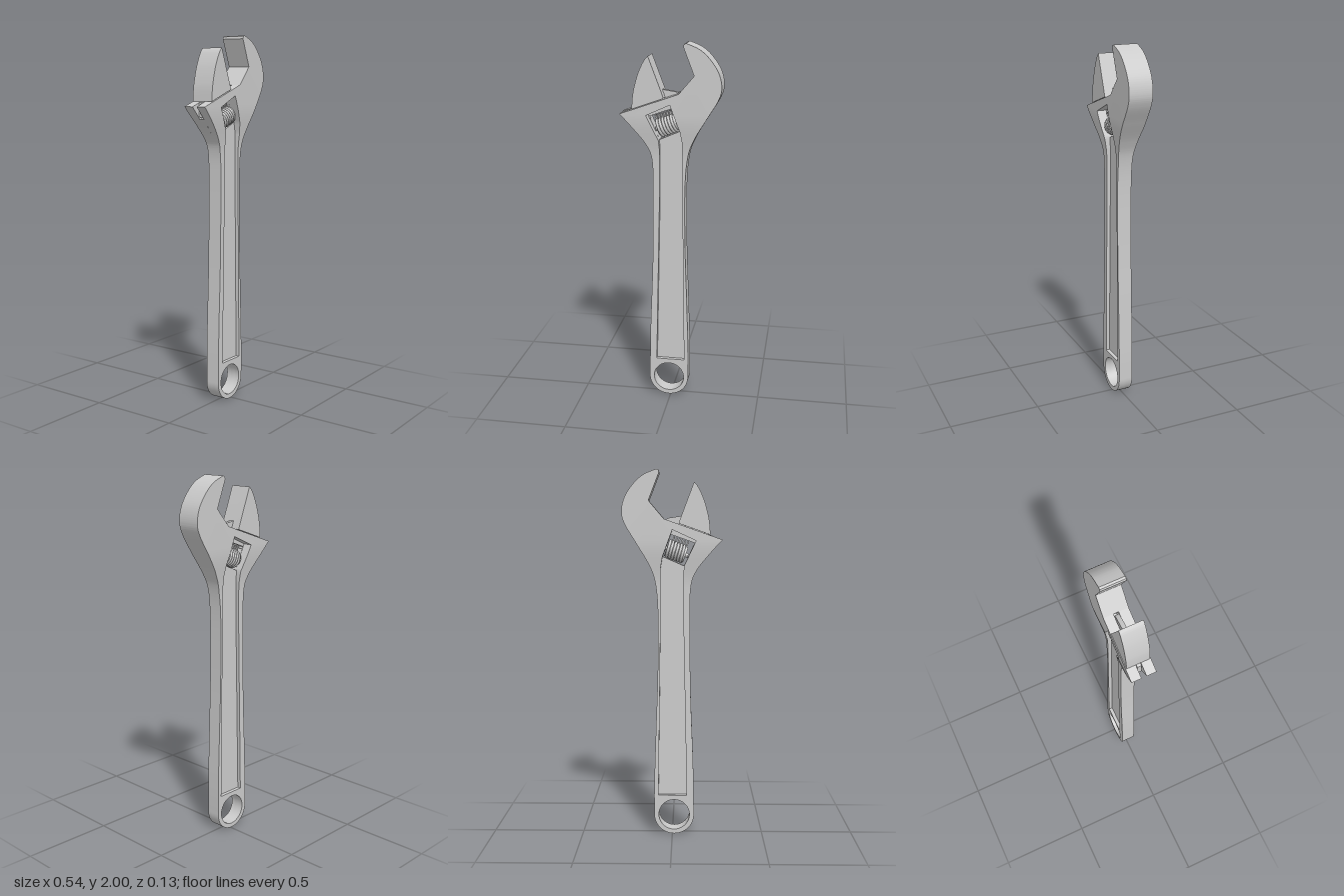
import * as THREE from 'three';
import { toCreasedNormals } from 'three/addons/utils/BufferGeometryUtils.js';

const material = new THREE.MeshStandardMaterial({ color: 0xcccccc });
const SLOT = 0.0135;   // half width of the slide slot
const FLOOR = 0.02;    // half thickness at the recess floor
const HANDLE = 0.04;   // half thickness of the handle rim
const HEAD = 0.066;    // half thickness of the head
const TILT = 0.34;     // slope of the slide, in radians
const RING = [-0.01, 0.11];

const pts = (list) => list.map(([x, y]) => new THREE.Vector2(x, y));
const polygon = (list) => new THREE.Shape(pts(list));
const WINDOW = [[0.053, 1.54], [0, 1.683], [-0.127, 1.625], [-0.063, 1.49]];

// Handle and fixed jaw; notched cuts the slide slot and the worm window open
function bodyShape(notched) {
  const s = new THREE.Shape();
  s.moveTo(0.1, 0.11);
  s.splineThru(pts([[0.1, 0.28], [0.09, 0.6], [0.08, 0.9], [0.078, 1.23], [0.092, 1.4],
    [0.127, 1.5], [0.195, 1.615], [0.252, 1.71], [0.27, 1.775], [0.255, 1.85],
    [0.21, 1.92], [0.155, 1.97], [0.085, 2]]));
  for (const [x, y] of [[0.074, 1.996], [0.07, 1.983], [0.127, 1.836], [0.045, 1.74]]) s.lineTo(x, y);
  if (notched) {
    for (const [x, y] of [[0.07, 1.675], [0.01, 1.655], [0.053, 1.54], [-0.063, 1.49],
      [-0.113, 1.6], [-0.205, 1.561]]) s.lineTo(x, y);
  } else {
    s.lineTo(-0.268, 1.63);
  }
  s.splineThru(pts([[-0.2, 1.555], [-0.13, 1.465], [-0.1, 1.38], [-0.095, 1.2],
    [-0.1, 0.8], [-0.115, 0.4], [-0.12, 0.11]]));
  for (let i = 1; i < 32; i++) {
    const a = Math.PI * (1 + i / 32);
    s.lineTo(RING[0] + 0.11 * Math.cos(a), RING[1] + 0.11 * Math.sin(a));
  }
  s.closePath();
  s.holes.push(new THREE.Path().absarc(RING[0], RING[1], 0.085, 0, Math.PI * 2, true));
  return s;
}

function extrude(shape, z0, z1) {
  const geo = new THREE.ExtrudeGeometry(shape, { depth: z1 - z0, bevelEnabled: false, curveSegments: 20 });
  geo.translate(0, 0, z0);
  return geo;
}

// Splits triangles at the given heights so that the faces can bend there
function sliceAtHeights(geo, levels) {
  const p = geo.getAttribute('position');
  let tris = [];
  for (let i = 0; i < p.count; i += 3) {
    tris.push([0, 1, 2].map((k) => new THREE.Vector3().fromBufferAttribute(p, i + k)));
  }
  const clip = (tri, h, side) => {
    const out = [];
    tri.forEach((a, i) => {
      const b = tri[(i + 1) % 3];
      const da = (a.y - h) * side, db = (b.y - h) * side;
      if (da >= 0) out.push(a);
      if (da * db < 0) out.push(a.clone().lerp(b, da / (da - db)));
    });
    return out;
  };
  for (const h of levels) {
    const next = [];
    for (const tri of tris) {
      const ys = tri.map((v) => v.y);
      if (Math.min(...ys) >= h || Math.max(...ys) <= h) { next.push(tri); continue; }
      for (const side of [1, -1]) {
        const poly = clip(tri, h, side);
        for (let i = 2; i < poly.length; i++) next.push([poly[0], poly[i - 1], poly[i]]);
      }
    }
    tris = next;
  }
  return new THREE.BufferGeometry().setFromPoints(tris.flat().map((v) => v.clone()));
}

// Mirrors front to back, keeping the faces outward
function mirrorZ(geo) {
  const out = geo.clone();
  const a = geo.getAttribute('position'), b = out.getAttribute('position');
  for (let i = 0; i < a.count; i++) {
    const j = i - (i % 3) + (2 - (i % 3));
    b.setXYZ(i, a.getX(j), a.getY(j), -a.getZ(j));
  }
  return out;
}

function add(parent, name, geo, crease = true) {
  const mesh = new THREE.Mesh(crease ? toCreasedNormals(geo, 0.5) : geo, material);
  mesh.name = name;
  parent.add(mesh);
  return mesh;
}

export function createModel() {
  const model = new THREE.Group();
  model.name = 'adjustableWrench';

  // Body: slotted core, two webs with the window, two raised rims
  const body = new THREE.Group();
  body.name = 'body';
  model.add(body);
  add(body, 'core', extrude(bodyShape(true), -SLOT, SLOT));

  const webShape = bodyShape(false);
  webShape.holes.push(polygon(WINDOW));
  const web = extrude(webShape, SLOT, FLOOR);

  const rimShape = bodyShape(false);
  rimShape.holes.push(polygon([[-0.08, 0.22], [0.077, 0.22], [0.064, 1.2], [0.063, 1.48],
    ...WINDOW, [-0.059, 1.44], [-0.06, 1.2]]));
  const levels = Array.from({ length: 11 }, (_, i) => 1.37 + i * 0.026);
  const rim = sliceAtHeights(extrude(rimShape, FLOOR, HANDLE), levels);
  const p = rim.getAttribute('position');
  for (let i = 0; i < p.count; i++) {
    if (p.getZ(i) > (FLOOR + HANDLE) / 2) {
      p.setZ(i, HANDLE + (HEAD - HANDLE) * THREE.MathUtils.smoothstep(p.getY(i), 1.37, 1.63));
    }
  }
  add(body, 'frontWeb', web);
  add(body, 'backWeb', mirrorZ(web));
  add(body, 'frontRim', rim);
  add(body, 'backRim', mirrorZ(rim));

  // Movable jaw with its slide in the slot
  const jaw = new THREE.Group();
  jaw.name = 'movableJaw';
  model.add(jaw);
  const jawShape = new THREE.Shape();
  jawShape.moveTo(-0.203, 1.656);
  jawShape.lineTo(-0.034, 1.716);
  jawShape.lineTo(-0.04, 1.735);
  jawShape.lineTo(-0.115, 1.932);
  jawShape.splineThru(pts([[-0.138, 1.905], [-0.17, 1.835], [-0.195, 1.74], [-0.203, 1.656]]));
  add(jaw, 'jawBlock', extrude(jawShape, -0.062, 0.062));
  add(jaw, 'slide', extrude(polygon([[-0.216, 1.65], [-0.216, 1.575], [-0.12, 1.612], [0.01, 1.658],
    [0.032, 1.668], [0.038, 1.735], [0.022, 1.745], [-0.05, 1.756], [-0.06, 1.71]]), -0.0115, 0.0115));

  // Worm screw on its pin, with the rack teeth above it
  const worm = new THREE.Group();
  worm.name = 'wormScrew';
  worm.position.set(-0.02, 1.566, 0);
  worm.rotation.z = TILT;
  model.add(worm);
  const turns = 6, length = 0.096;
  const helix = Array.from({ length: turns * 20 + 1 }, (_, i) => {
    const a = (i / 20) * Math.PI * 2;
    return new THREE.Vector3((i / (turns * 20) - 0.5) * length, 0.045 * Math.cos(a), 0.045 * Math.sin(a));
  });
  add(worm, 'thread', new THREE.TubeGeometry(new THREE.CatmullRomCurve3(helix), turns * 28, 0.0075, 8), false);
  add(worm, 'wormCore', new THREE.CylinderGeometry(0.043, 0.043, 0.108, 32).rotateZ(Math.PI / 2), false);
  add(worm, 'pin', new THREE.CylinderGeometry(0.012, 0.012, 0.135, 16).rotateZ(Math.PI / 2), false);
  for (let i = 0; i < 6; i++) {
    const tooth = add(worm, 'rackTooth', new THREE.BoxGeometry(0.008, 0.024, 0.023), false);
    tooth.position.set(-0.044 + i * 0.016, 0.06, 0);
  }
  return model;
}
